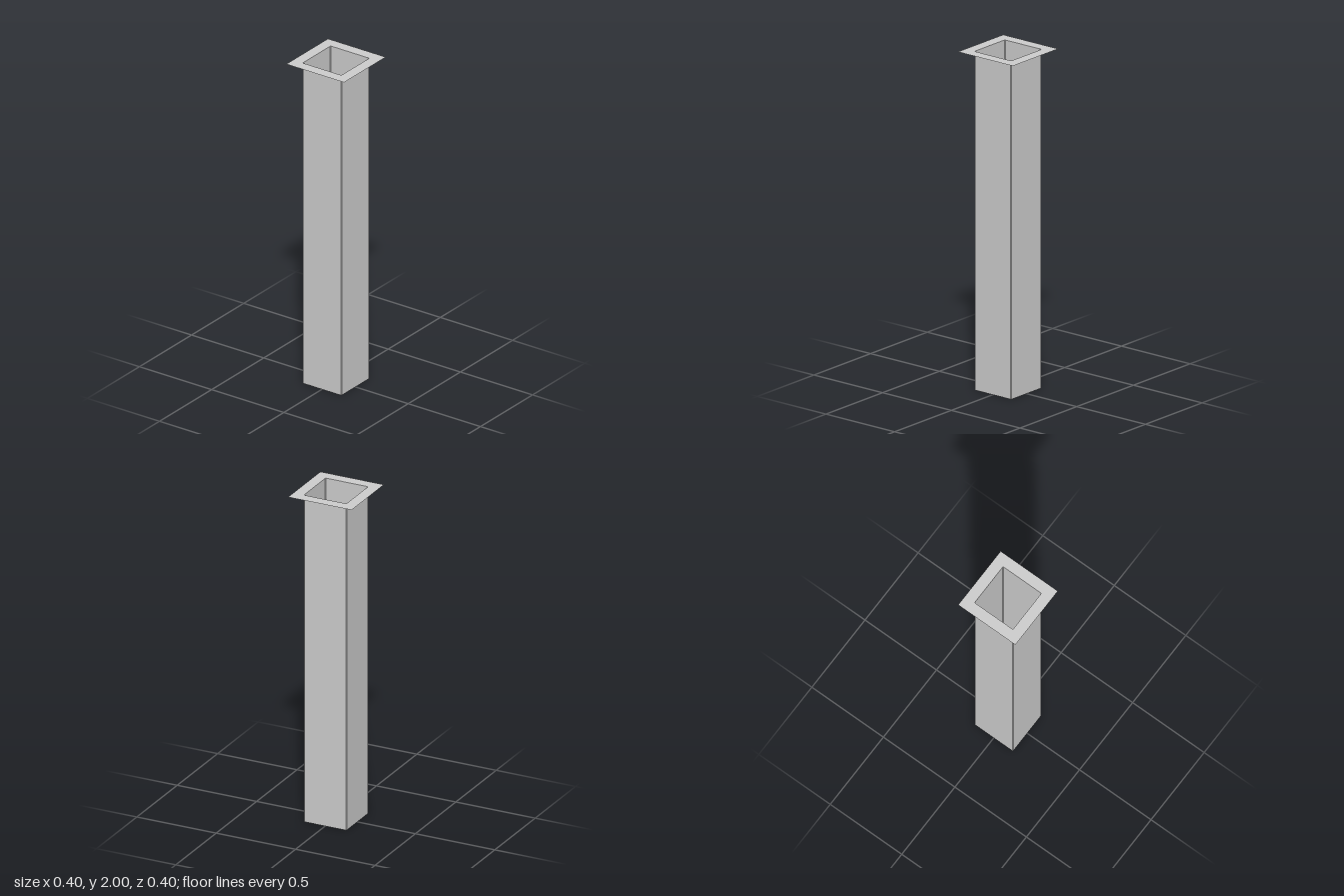
import * as THREE from 'three';

const HEIGHT = 2, SHAFT = 0.134, FLANGE = 0.2, BEVEL = 0.004;

// Square outline, counter-clockwise, with optionally clipped corners
function squareOutline(half, bevel = 0) {
  const points = [];
  for (let i = 0; i < 4; i++) {
    const centre = new THREE.Vector2();
    const ends = bevel ? [[half, half - bevel], [half - bevel, half]] : [[half, half]];
    for (const [x, y] of ends) {
      points.push(new THREE.Vector2(x, y).rotateAround(centre, i * Math.PI / 2));
    }
  }
  return points;
}

// Open vertical walls following an outline
function wallGeometry(outline, height) {
  const positions = [];
  outline.forEach((a, i) => {
    const b = outline[(i + 1) % outline.length];
    const a0 = [a.x, 0, -a.y], b0 = [b.x, 0, -b.y];
    const a1 = [a.x, height, -a.y], b1 = [b.x, height, -b.y];
    positions.push(...a0, ...b0, ...b1, ...a0, ...b1, ...a1);
  });
  const geometry = new THREE.BufferGeometry();
  geometry.setAttribute('position', new THREE.Float32BufferAttribute(positions, 3));
  geometry.computeVertexNormals();
  return geometry;
}

export function createModel() {
  const group = new THREE.Group();
  group.name = 'flangedSquareSleeve';
  const material = new THREE.MeshStandardMaterial({
    color: 0xcccccc, flatShading: true, side: THREE.DoubleSide,
  });
  const add = (name, geometry) => {
    const mesh = new THREE.Mesh(geometry, material);
    mesh.name = name;
    group.add(mesh);
  };
  const outline = squareOutline(SHAFT, BEVEL);

  // Hollow square shaft, open at the top
  add('shaftWalls', wallGeometry(outline, HEIGHT));

  // Closed floor, facing down
  add('shaftFloor', new THREE.ShapeGeometry(new THREE.Shape(outline)).rotateX(Math.PI / 2));

  // Thin flange around the opening
  const flange = new THREE.Shape(squareOutline(FLANGE));
  flange.holes.push(new THREE.Path(outline));
  add('topFlange', new THREE.ShapeGeometry(flange).rotateX(-Math.PI / 2).translate(0, HEIGHT, 0));

  return group;
}
